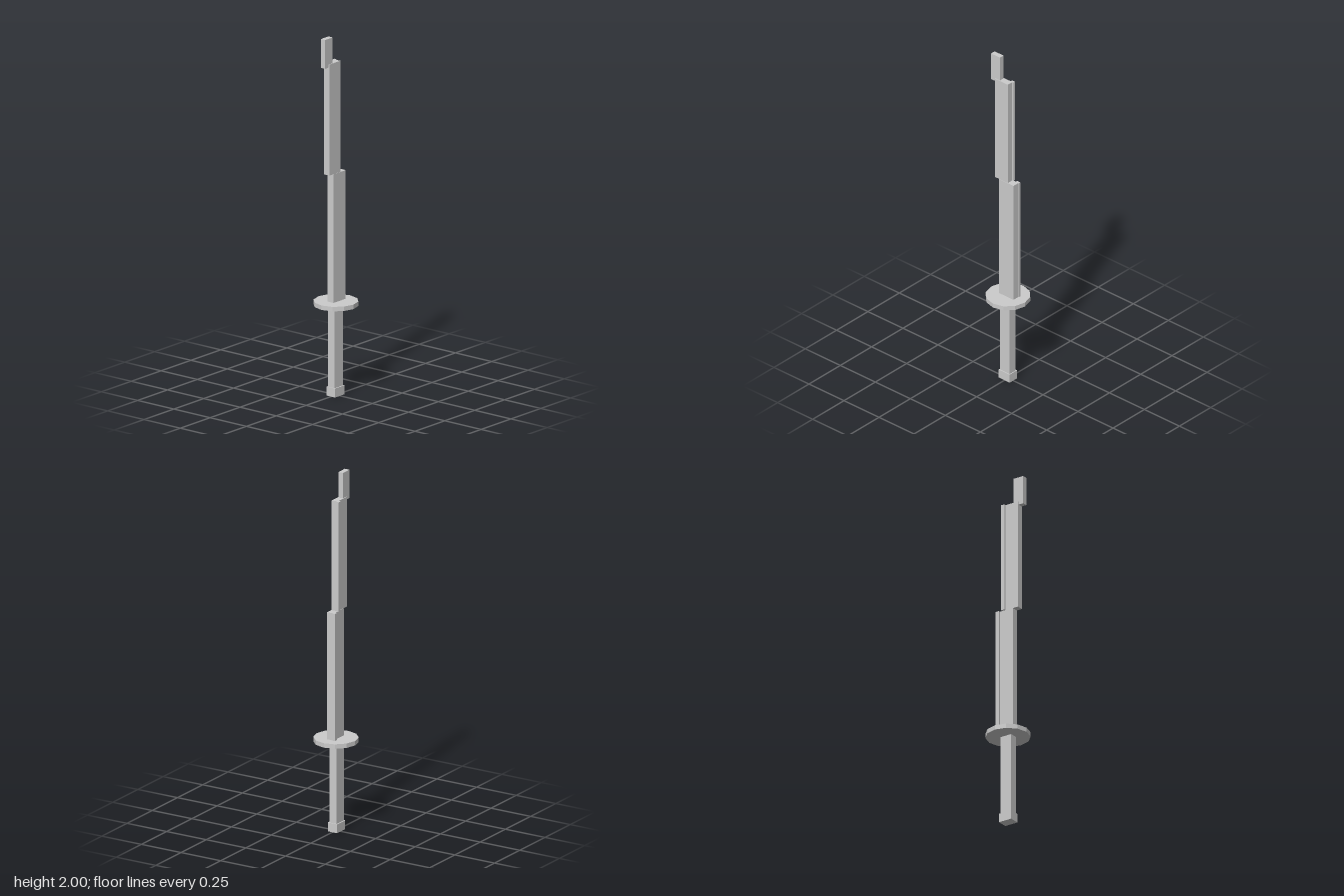
import * as THREE from 'three';

export function createModel() {
  const model = new THREE.Group();
  model.name = 'sword';
  const material = new THREE.MeshStandardMaterial({ color: 0xcccccc, flatShading: true });

  const add = (name, geometry, x, y, z) => {
    const mesh = new THREE.Mesh(geometry, material);
    mesh.name = name;
    mesh.position.set(x, y, z);
    model.add(mesh);
  };

  // Box given by its extents along each axis
  const box = (name, [x0, x1], [y0, y1], [z0, z1]) =>
    add(name, new THREE.BoxGeometry(x1 - x0, y1 - y0, z1 - z0),
      (x0 + x1) / 2, (y0 + y1) / 2, (z0 + z1) / 2);

  // Grip and its end cap
  box('pommel', [-0.031, 0.028], [0, 0.05], [-0.037, 0.042]);
  box('handle', [-0.025, 0.022], [0.04, 0.505], [-0.032, 0.038]);

  // Twelve-sided disc guard
  add('guard', new THREE.CylinderGeometry(0.121, 0.121, 0.025, 12), 0, 0.5125, 0);

  // Blade in three segments stepping forward, with a rib along the back of two
  box('lowerBlade', [-0.0205, 0.02], [0.52, 1.24], [-0.057, 0.045]);
  box('lowerRib', [-0.031, -0.018], [0.52, 1.24], [-0.06, -0.038]);
  box('upperBlade', [-0.019, 0.018], [1.24, 1.857], [-0.015, 0.078]);
  box('upperRib', [-0.031, -0.017], [1.24, 1.857], [-0.023, -0.002]);
  box('bladeTip', [-0.015, 0.014], [1.84, 2], [0.045, 0.109]);

  return model;
}
